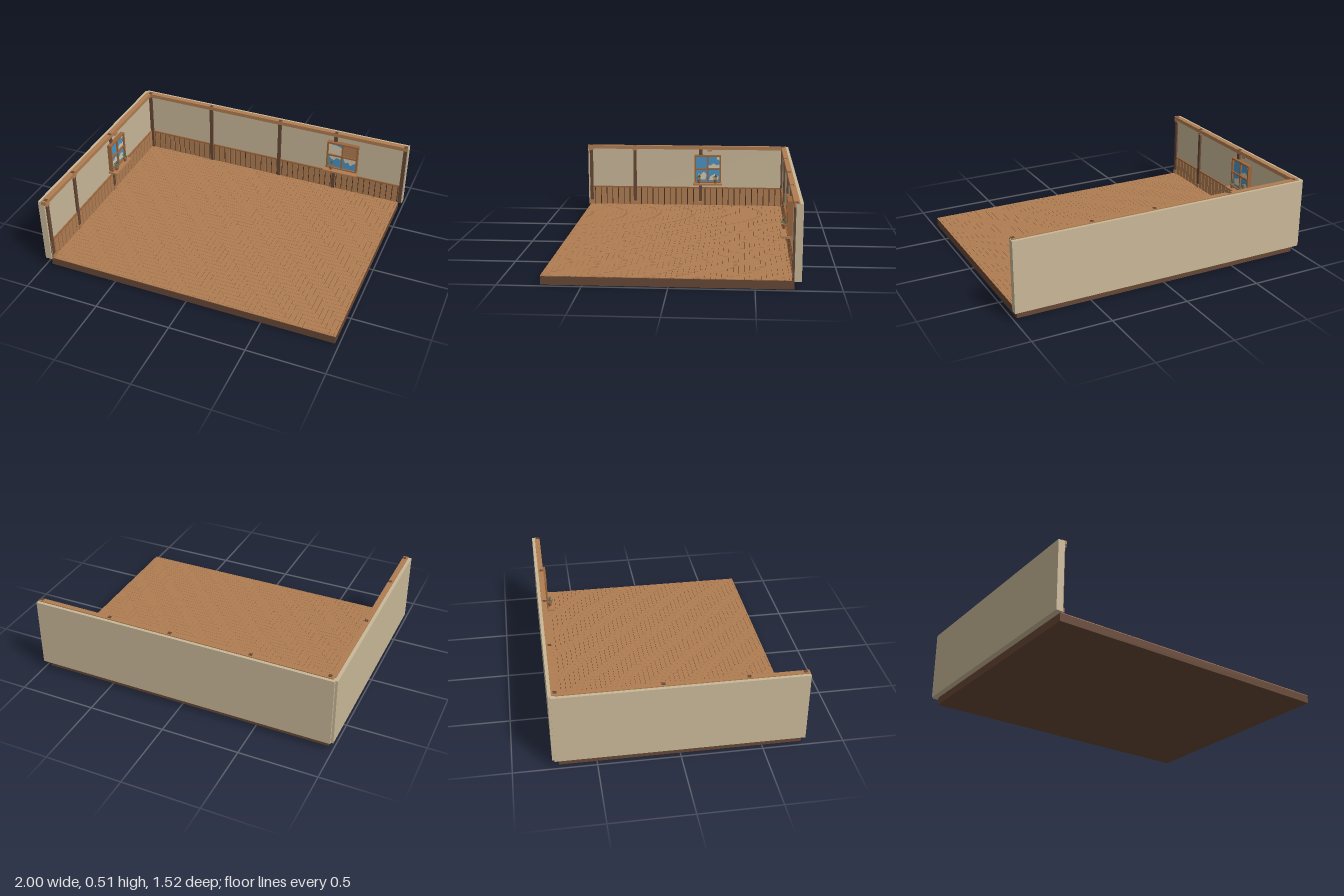
import * as THREE from 'three';
import { mergeGeometries } from 'three/addons/utils/BufferGeometryUtils.js';

const paint = (name, color, side = THREE.FrontSide) => {
  const m = new THREE.MeshStandardMaterial({ color, side });
  m.name = name;
  return m;
};

const boxGeo = (x0, x1, y0, y1, z0, z1) =>
  new THREE.BoxGeometry(x1 - x0, y1 - y0, z1 - z0)
    .translate((x0 + x1) / 2, (y0 + y1) / 2, (z0 + z1) / 2);

function add(parent, name, geo, mat) {
  const mesh = new THREE.Mesh(geo, mat);
  mesh.name = name;
  parent.add(mesh);
  return mesh;
}
const box = (parent, name, mat, ...b) => add(parent, name, boxGeo(...b), mat);

// Herringbone floor: planks four cells long, clipped to the base
function floorPlanks(x0, x1, z0, z1, y0, y1) {
  const W = 0.0325, ox = -0.8275, oz = 0.375, gap = 0.0008, parts = [];
  const plank = (i, j, w, h) => {
    const a = Math.max(x0, ox + i * W + gap), b = Math.min(x1, ox + (i + w) * W - gap);
    const c = Math.max(z0, oz + j * W + gap), d = Math.min(z1, oz + (j + h) * W - gap);
    if (b - a > 0.001 && d - c > 0.001) parts.push(boxGeo(a, b, y0, y1, c, d));
  };
  for (let k = -60; k < 80; k++) {
    for (let m = -14; m < 14; m++) {
      plank(k + 8 * m, k, 4, 1);
      plank(k, k - 7 + 8 * m, 1, 4);
    }
  }
  return mergeGeometries(parts);
}

export function createModel() {
  const mats = {
    wood: paint('oak wood', 0xb07d52),
    dark: paint('dark timber', 0x664735),
    seam: paint('seam brown', 0x4a3020),
    plaster: paint('cream plaster', 0xc9b898),
    frame: paint('window wood', 0x9c663c),
    sky: paint('sky blue', 0x4a93c4),
    cloud: paint('cloud cream', 0xd6c8aa, THREE.DoubleSide),
    leaf: paint('leaf green', 0x5f6d52, THREE.DoubleSide),
    pot: paint('clay pot', 0x94623f),
  };
  const room = new THREE.Group();
  room.name = 'room';

  // Floor
  box(room, 'floorBase', mats.dark, -0.965, 0.975, 0, 0.051, -0.725, 0.745);
  box(room, 'floorSeams', mats.seam, -0.964, 0.974, 0.051, 0.0525, -0.724, 0.744);
  add(room, 'floorPlanks', floorPlanks(-0.965, 0.975, -0.725, 0.745, 0.051, 0.055), mats.wood);

  // Plaster walls
  box(room, 'backWall', mats.plaster, -0.985, 1, 0.053, 0.507, -0.764, -0.722);
  box(room, 'leftWall', mats.plaster, -1, -0.957, 0.053, 0.507, -0.75, 0.76);

  // Potted plant with curved leaves
  function plant(parent, x, y, z) {
    const g = new THREE.Group();
    g.name = 'pottedPlant';
    g.position.set(x, y, z);
    parent.add(g);
    add(g, 'pot', new THREE.CylinderGeometry(0.013, 0.009, 0.025, 10).translate(0, 0.0125, 0), mats.pot);
    add(g, 'potRim', new THREE.CylinderGeometry(0.015, 0.015, 0.006, 10).translate(0, 0.026, 0), mats.pot);
    add(g, 'stem', new THREE.CylinderGeometry(0.0015, 0.002, 0.03, 5).translate(0, 0.042, 0), mats.leaf);
    for (let i = 0; i < 9; i++) {
      const leaf = new THREE.SphereGeometry(1, 6, 4).scale(0.006, 0.013, 0.0025).translate(0, 0.013, 0);
      leaf.rotateX(i % 3 === 0 ? 0.4 : i % 3 === 1 ? 0.9 : 1.35);
      leaf.rotateY(i * 2.4).translate(0, 0.038 + (i % 3 === 0 ? 0.008 : 0), 0);
      add(g, 'leaf', leaf, mats.leaf);
    }
  }

  // Wall trim in wall space: x along the wall, z out into the room
  function trim(name, u0, u1, posts, boardStep) {
    const g = new THREE.Group();
    g.name = name;
    room.add(g);
    box(g, 'topRail', mats.wood, u0, u1, 0.486, 0.512, -0.022, 0.012);
    box(g, 'wainscotBacking', mats.seam, u0 + 0.01, u1 - 0.01, 0.055, 0.188, 0, 0.003);
    const boards = [];
    for (let u = u0 + 0.01; u < u1 - 0.012; u += boardStep) {
      boards.push(boxGeo(u, Math.min(u + boardStep - 0.006, u1 - 0.01), 0.055, 0.187, 0, 0.007));
    }
    add(g, 'wainscotBoards', mergeGeometries(boards), mats.wood);
    box(g, 'dadoRail', mats.frame, u0 + 0.01, u1 - 0.01, 0.185, 0.195, 0, 0.0095);
    for (const u of posts) {
      box(g, 'post', mats.dark, u - 0.012, u + 0.012, 0.055, 0.488, 0, 0.0115);
      box(g, 'postTop', mats.dark, u - 0.011, u + 0.011, 0.5, 0.5135, -0.012, 0.011);
    }
    return g;
  }

  // Four-pane window with sill; clouds are given in pane fractions
  function windowUnit(parent, u0, u1, y0, y1, clouds, sillOver) {
    const g = new THREE.Group();
    g.name = 'window';
    parent.add(g);
    const t = 0.011, um = (u0 + u1) / 2, ym = 0.338;
    box(g, 'sky', mats.sky, u0 + 0.004, u1 - 0.004, y0, y1 - 0.004, 0.0125, 0.016);
    for (const u of [u0, u1 - t]) box(g, 'frameSide', mats.frame, u, u + t, y0, y1, 0, 0.03);
    box(g, 'frameTop', mats.frame, u0 + t, u1 - t, y1 - t, y1, 0, 0.03);
    box(g, 'frameBottom', mats.frame, u0 + t, u1 - t, y0, y0 + t * 0.7, 0, 0.03);
    box(g, 'mullion', mats.frame, um - 0.005, um + 0.005, y0, y1 - t, 0.012, 0.027);
    box(g, 'crossbar', mats.frame, u0 + t, u1 - t, ym - 0.006, ym + 0.006, 0.012, 0.026);
    box(g, 'sill', mats.wood, u0 - sillOver, u1 + sillOver, 0.22, 0.233, 0, 0.068);
    for (const { points, mat } of clouds) {
      const shape = new THREE.Shape(points.map(([a, b]) =>
        new THREE.Vector2(u0 + t + a * (u1 - u0 - 2 * t), y0 + b * (y1 - y0 - t))));
      add(g, 'cloud', new THREE.ShapeGeometry(shape).translate(0, 0, 0.0175), mat);
    }
  }

  // Back wall trim
  const back = trim('backTrim', -0.972, 0.995, [-0.945, -0.455, 0.075, 0.49, 0.981], 0.041);
  back.position.z = -0.722;
  windowUnit(back, 0.436, 0.66, 0.233, 0.445, [
    { mat: mats.wood, points: [[0.5, 0.54], [1, 0.54], [1, 1], [0.5, 1]] },
    { mat: mats.cloud, points: [[0, 0.54], [0.5, 0.54], [0.5, 0.85], [0.3, 0.93], [0, 0.95]] },
    { mat: mats.cloud, points: [[0.55, 0.42], [0.62, 0.28], [0.72, 0.34], [0.8, 0.2], [0.9, 0.3], [1, 0.36], [1, 0.5], [0.55, 0.5]] },
    { mat: mats.cloud, points: [[0.05, 0.5], [0.05, 0.4], [0.2, 0.3], [0.3, 0.42], [0.45, 0.38], [0.45, 0.5]] },
  ], 0.011);
  plant(back, 0.478, 0.233, 0.042);

  // Left wall trim
  const left = trim('leftTrim', -0.76, 0.725, [-0.735, -0.4, 0.103], 0.0445);
  left.rotation.y = Math.PI / 2;
  left.position.x = -0.957;
  windowUnit(left, 0.057, 0.257, 0.233, 0.445, [
    { mat: mats.cloud, points: [[0.54, 0.56], [1, 0.56], [1, 0.7], [0.88, 0.67], [0.75, 0.74], [0.62, 0.66], [0.54, 0.68]] },
    { mat: mats.cloud, points: [[0.88, 0.9], [1, 0.86], [1, 1], [0.9, 1]] },
    { mat: mats.cloud, points: [[0.08, 0.12], [0.4, 0.12], [0.46, 0.3], [0.34, 0.42], [0.2, 0.32], [0.1, 0.36]] },
    { mat: mats.cloud, points: [[0.56, 0.1], [0.95, 0.1], [0.96, 0.25], [0.8, 0.34], [0.6, 0.24]] },
  ], 0.01);
  for (const u of [0.093, 0.218]) plant(left, u, 0.233, 0.042);

  // Wooden blocks at post heads and feet
  for (const u of [-0.735, -0.4, 0.17]) box(left, 'headBlock', mats.wood, u - 0.017, u + 0.017, 0.473, 0.49, 0, 0.0145);
  for (const u of [-0.735, -0.4, 0.103]) box(left, 'footBlock', mats.wood, u - 0.016, u + 0.016, 0.055, 0.085, 0, 0.0145);

  return room;
}
